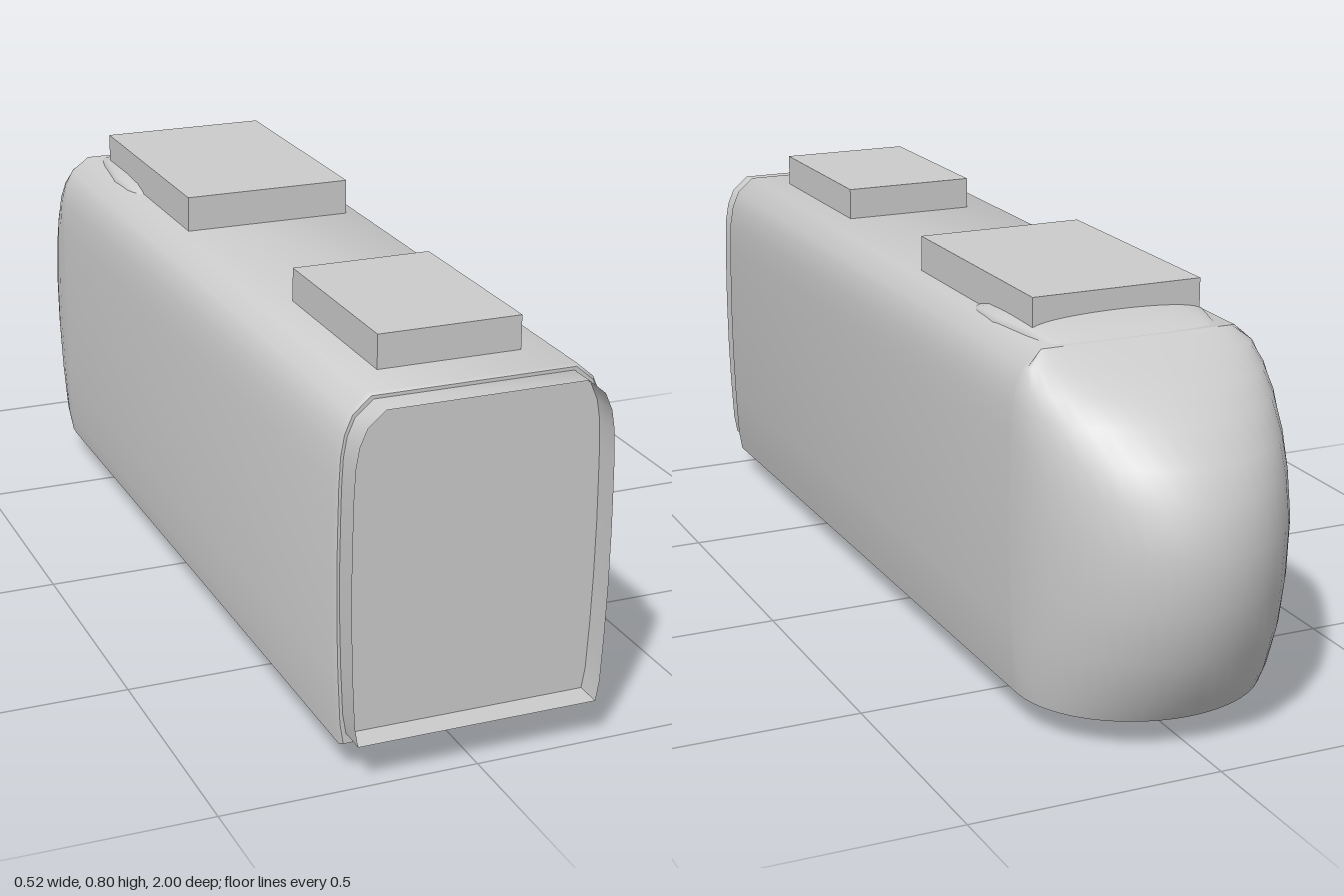
import * as THREE from 'three';
import { toCreasedNormals } from 'three/addons/utils/BufferGeometryUtils.js';

// Half cross-section of the carriage, bottom to top: [half width, y, nose length]
const SECTION = [
  [0.246, 0.058, 0.225], [0.253, 0.1, 0.255], [0.258, 0.2, 0.308], [0.261, 0.3, 0.335],
  [0.262, 0.41, 0.345], [0.261, 0.5, 0.322], [0.26, 0.56, 0.285], [0.257, 0.62, 0.222],
  [0.25, 0.66, 0.155], [0.235, 0.695, 0.075], [0.2, 0.725, 0],
];
const BODY_BACK = -0.655;
const BODY_FRONT = 0.945;

// Skin a list of point rings; the outside follows ring direction x step direction
function loft(rings, closed, crease = 0.9) {
  const n = rings[0].length;
  const index = [];
  for (let r = 0; r < rings.length - 1; r++) {
    for (let i = 0; i < (closed ? n : n - 1); i++) {
      const a = r * n + i, b = r * n + (i + 1) % n;
      index.push(a, b, a + n, b, b + n, a + n);
    }
  }
  const geometry = new THREE.BufferGeometry();
  geometry.setAttribute('position', new THREE.Float32BufferAttribute(rings.flat(2), 3));
  geometry.setIndex(index);
  return toCreasedNormals(geometry, crease);
}

// Full cross-section loop, counterclockwise from the front, scaled about a height
function sectionRing(z, sx = 1, sy = 1, midY = 0.39) {
  const right = SECTION.map(([x, y]) => [x * sx, midY + (y - 0.39) * sy, z]);
  const left = right.map(([x, y]) => [-x, y, z]).reverse();
  return [...right, ...left];
}

// Ring of points made by a function of an angle from 0 to PI
function halfRing(point, steps = 24) {
  return Array.from({ length: steps + 1 }, (_, i) => point((Math.PI * i) / steps));
}

export function createModel() {
  const model = new THREE.Group();
  // Double-sided because the gangway collar is an open sheet
  const grey = new THREE.MeshStandardMaterial({ color: 0xcccccc, side: THREE.DoubleSide });
  grey.name = 'grey';

  function add(name, geometry, x = 0, y = 0, z = 0) {
    const mesh = new THREE.Mesh(geometry, grey);
    mesh.name = name;
    mesh.position.set(x, y, z);
    model.add(mesh);
    return mesh;
  }

  // Carriage shell with a slightly bevelled front edge
  add('body', loft([
    sectionRing(BODY_BACK),
    sectionRing(BODY_FRONT - 0.01),
    sectionRing(BODY_FRONT, 0.98, 0.99),
  ], true));

  // Flat end wall
  const outline = sectionRing(BODY_FRONT, 0.98, 0.99).map(([x, y]) => new THREE.Vector2(x, y));
  add('endWall', new THREE.ShapeGeometry(new THREE.Shape(outline)), 0, 0, BODY_FRONT);

  // Open gangway collar
  add('gangway', loft([
    sectionRing(BODY_FRONT, 0.96, 0.95, 0.397),
    sectionRing(1, 0.96, 0.95, 0.397),
  ], true));

  // Rounded nose, stacked from half-ellipses, starting with its flat floor
  const noseRing = (w, y, d) =>
    halfRing((a) => [w * Math.cos(a), y, BODY_BACK - d * Math.sin(a)]);
  add('nose', loft([
    noseRing(0, SECTION[0][1], 0),
    ...SECTION.map(([w, y, d]) => noseRing(w, y, d)),
  ], false));

  // Low roof fairing running from the nose under the large roof unit: [z, half width, height]
  const fairing = [
    [-0.67, 0.16, 0], [-0.63, 0.175, 0.02], [-0.565, 0.188, 0.04],
    [-0.45, 0.203, 0.036], [-0.37, 0.2, 0.032], [-0.335, 0.19, 0.022], [-0.31, 0.17, 0.005],
  ];
  add('roofFairing', loft(fairing.map(([z, w, h]) =>
    halfRing((a) => [w * Math.cos(a), 0.715 + h * Math.sqrt(Math.abs(Math.sin(a))), z])), false));

  // Roof units
  add('largeRoofUnit', new THREE.BoxGeometry(0.35, 0.077, 0.525), 0, 0.758, -0.303);
  add('smallRoofUnit', new THREE.BoxGeometry(0.28, 0.075, 0.395), 0, 0.753, 0.643);

  // Wheels, half sunk into the floor
  const wheel = new THREE.CylinderGeometry(0.06, 0.06, 0.021, 8).rotateZ(Math.PI / 2);
  for (const x of [-0.165, 0.165]) {
    for (const z of [-0.035, 0.36]) add('wheel', wheel, x, 0.06, z);
  }

  return model;
}
